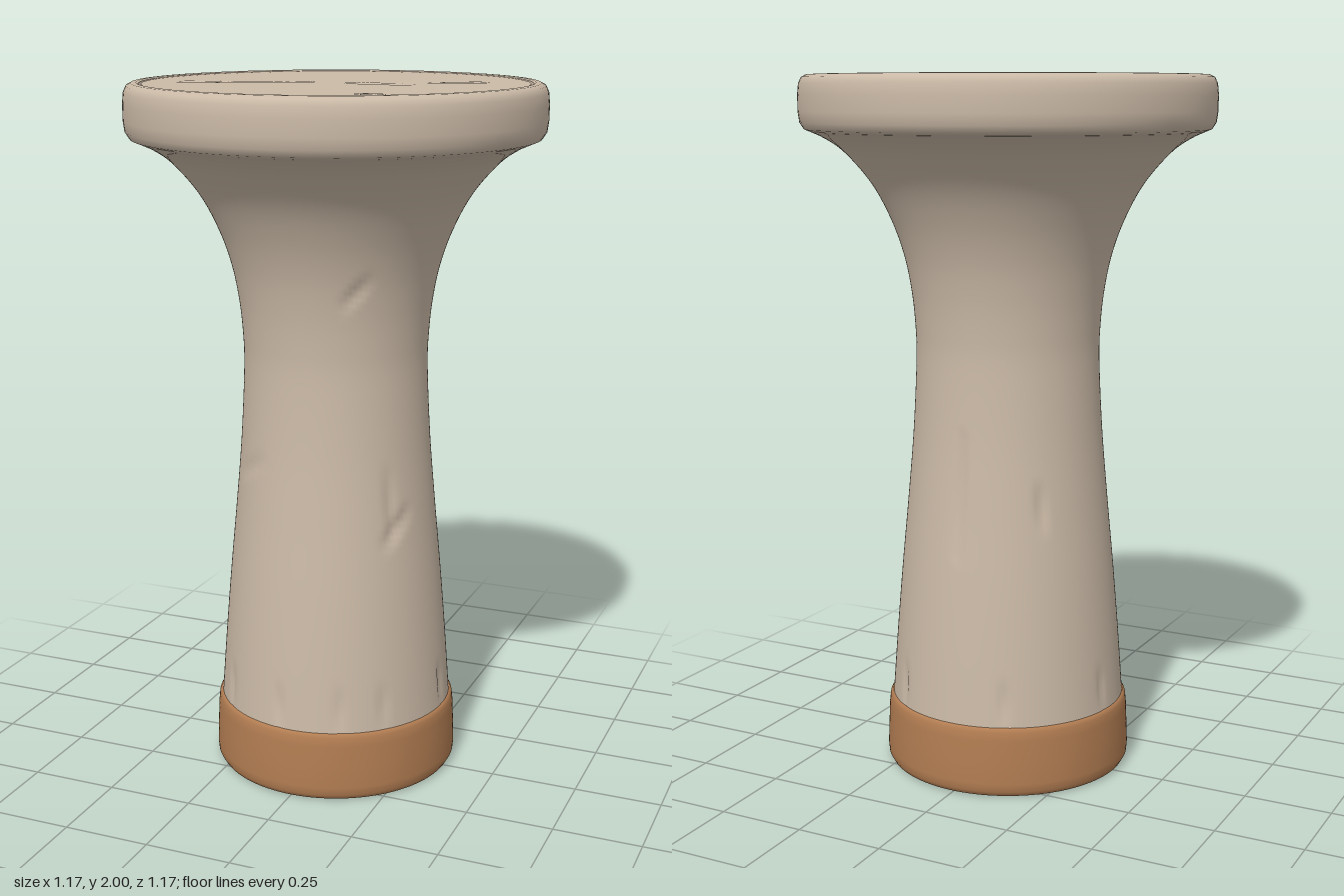
import * as THREE from 'three';
import { mergeVertices } from 'three/addons/utils/BufferGeometryUtils.js';

const stone = new THREE.MeshStandardMaterial({ color: 0xcbbaa7 });
stone.name = 'pale stone';
const bronze = new THREE.MeshStandardMaterial({ color: 0xb27d52 });
bronze.name = 'bronze';

const SEGMENTS = 144;
const vec = (p) => new THREE.Vector3(...p);

// Turned part from [radius, height] pairs
function turned(name, profile, material) {
  const points = profile.map(([r, y]) => new THREE.Vector2(r, y));
  const mesh = new THREE.Mesh(new THREE.LatheGeometry(points, SEGMENTS), material);
  mesh.name = name;
  return mesh;
}

// Press tapered scratches into a surface, along the given inward direction
function gouge(mesh, scratches, inward) {
  let geo = mesh.geometry;
  geo.deleteAttribute('uv');
  geo.deleteAttribute('normal');
  geo = mergeVertices(geo, 1e-5);
  const pos = geo.attributes.position;
  const p = new THREE.Vector3(), near = new THREE.Vector3();
  for (const { from, to, width, depth } of scratches) {
    const line = new THREE.Line3(vec(from), vec(to));
    for (let i = 0; i < pos.count; i++) {
      p.fromBufferAttribute(pos, i);
      const t = line.closestPointToPointParameter(p, true);
      const gap = line.at(t, near).distanceTo(p);
      if (gap >= width) continue;
      const amount = depth * (1 - gap / width) * (0.3 + 0.7 * Math.sin(Math.PI * t));
      p.addScaledVector(inward(p), amount);
      pos.setXYZ(i, p.x, p.y, p.z);
    }
  }
  geo.computeVertexNormals();
  mesh.geometry = geo;
}

export function createModel() {
  const group = new THREE.Group();
  group.name = 'pedestal';

  // Bronze foot band with softened edges
  group.add(turned('footUnderside', [[0, 0.004], [0.335, 0.004]], bronze));
  group.add(turned('footBand', [
    [0.335, 0.004], [0.348, 0.008], [0.356, 0.022], [0.358, 0.045], [0.356, 0.1],
    [0.353, 0.17], [0.35, 0.195], [0.344, 0.206], [0.33, 0.21],
  ], bronze));

  // Waisted shaft flaring into the top
  const outline = new THREE.SplineCurve([
    [0.341, 0.2], [0.326, 0.4], [0.309, 0.6], [0.29, 0.8], [0.273, 1.0], [0.263, 1.2],
    [0.265, 1.3], [0.275, 1.4], [0.295, 1.5], [0.33, 1.6], [0.383, 1.7], [0.455, 1.785],
    [0.51, 1.825], [0.558, 1.847],
  ].map(([r, y]) => new THREE.Vector2(r, y)));
  const shaft = turned('shaft', outline.getSpacedPoints(100).map((p) => [p.x, p.y]), stone);
  const scratches = [
    { from: [0.12, 1.42, 0.25], to: [0.19, 1.5, 0.225], width: 0.02, depth: 0.012 },
    { from: [-0.22, 0.9, 0.18], to: [-0.12, 0.97, 0.25], width: 0.025, depth: 0.006 },
    { from: [0.225, 0.74, 0.19], to: [0.26, 0.83, 0.11], width: 0.025, depth: 0.014 },
    { from: [0.24, 0.76, 0.17], to: [0.225, 0.95, 0.165], width: 0.025, depth: 0.008 },
    { from: [0.01, 0.68, -0.3], to: [0, 1.02, -0.27], width: 0.022, depth: 0.01 },
    { from: [-0.21, 0.76, -0.2], to: [-0.2, 0.88, -0.2], width: 0.022, depth: 0.01 },
  ];
  // Short upright nicks around the bottom of the shaft
  for (const degrees of [-42, -7, 24, 46, 88, 145, 205, 260]) {
    const a = THREE.MathUtils.degToRad(degrees), x = Math.sin(a), z = Math.cos(a);
    scratches.push({
      from: [0.338 * x, 0.22, 0.338 * z], to: [0.33 * x, 0.33, 0.33 * z],
      width: 0.018, depth: 0.008,
    });
  }
  gouge(shaft, scratches, (p) => new THREE.Vector3(-p.x, 0, -p.z).normalize());
  group.add(shaft);

  // Round rim of the top
  group.add(turned('rimUnderside', [[0.5, 1.838], [0.556, 1.845]], stone));
  group.add(turned('rim', [
    [0.552, 1.845], [0.568, 1.851], [0.58, 1.87], [0.584, 1.9], [0.584, 1.945],
    [0.581, 1.975], [0.573, 1.992], [0.56, 1.999], [0.545, 2], [0.539, 1.997],
  ], stone));

  // Fine groove between rim and top plate
  group.add(turned('rimGroove', [[0.539, 1.997], [0.536, 1.986], [0.532, 1.996]], stone));

  // Scratched top plate
  const rings = Array.from({ length: 61 }, (_, i) => [0.532 * (1 - i / 60), 1.996]);
  const plate = turned('topPlate', rings, stone);
  gouge(plate, [
    { from: [-0.4, 1.996, 0.12], to: [-0.08, 1.996, 0.015], width: 0.022, depth: 0.014 },
    { from: [0.26, 1.996, -0.08], to: [0.37, 1.996, -0.155], width: 0.022, depth: 0.012 },
    { from: [0.05, 1.996, 0], to: [0.2, 1.996, 0.01], width: 0.03, depth: 0.005 },
    { from: [0.23, 1.996, 0.38], to: [0.27, 1.996, 0.385], width: 0.015, depth: 0.008 },
  ], () => new THREE.Vector3(0, -1, 0));
  group.add(plate);

  return group;
}
